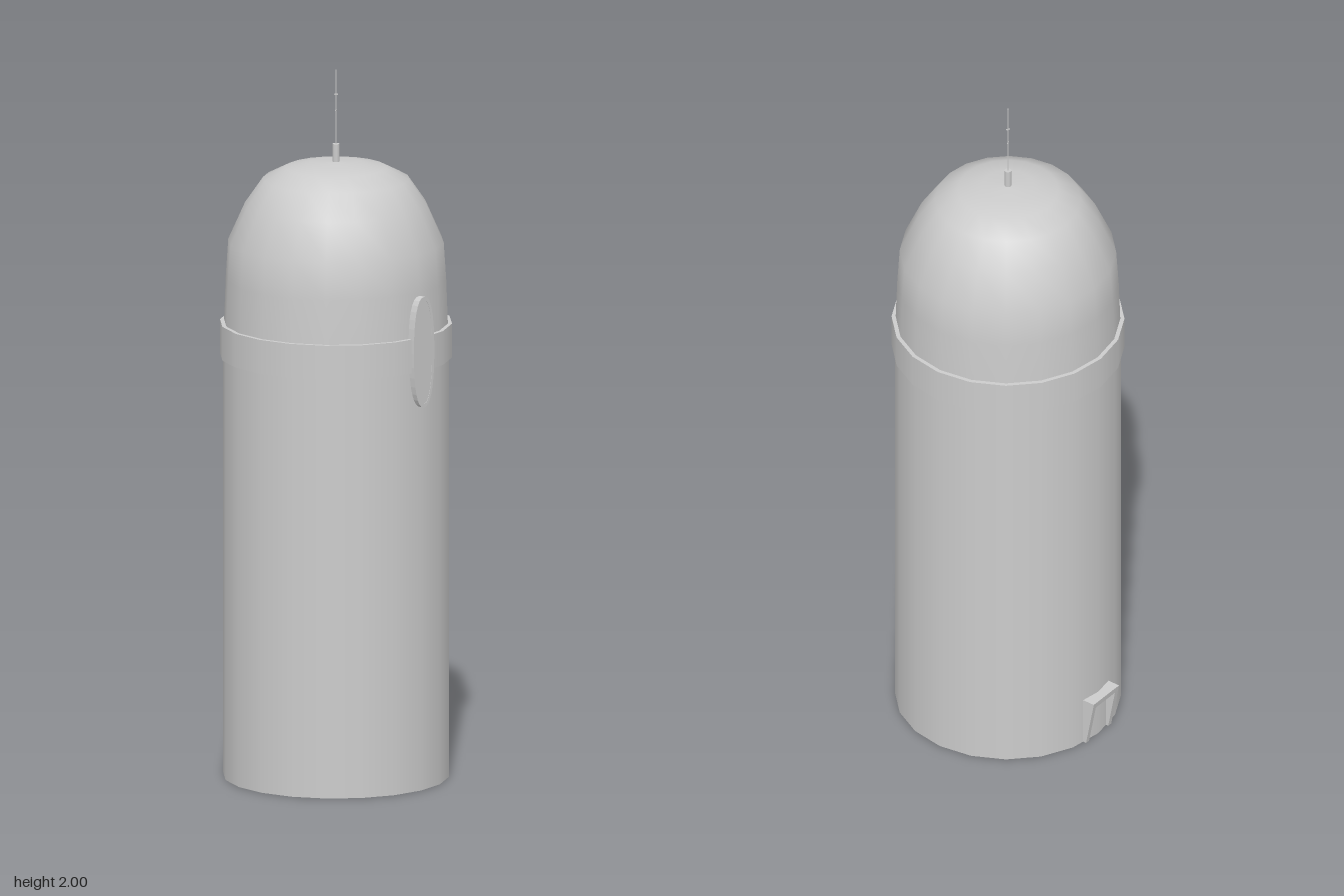
import * as THREE from 'three';

const SIDES = 20;
const AXIS_Z = 0.007;
const material = new THREE.MeshStandardMaterial({ color: 0xcccccc });

function add(parent, name, geometry, x = 0, y = 0, z = 0) {
  const mesh = new THREE.Mesh(geometry, material);
  mesh.name = name;
  mesh.position.set(x, y, z);
  parent.add(mesh);
  return mesh;
}

// Cylinder standing between two heights
function drum(parent, name, radius, y0, y1, sides = SIDES) {
  return add(parent, name, new THREE.CylinderGeometry(radius, radius, y1 - y0, sides), 0, (y0 + y1) / 2, 0);
}

// Tall rounded outline, slightly fuller than an ellipse
function ovalPoints(rx, ry, n = 32) {
  const bulge = (v) => Math.sign(v) * Math.pow(Math.abs(v), 0.85);
  return Array.from({ length: n }, (_, i) => {
    const a = (i / n) * Math.PI * 2;
    return new THREE.Vector2(rx * bulge(Math.cos(a)), ry * bulge(Math.sin(a)));
  });
}

export function createModel() {
  const model = new THREE.Group();
  model.name = 'domedCanister';
  const tower = new THREE.Group();
  tower.name = 'tower';
  tower.position.z = AXIS_Z;
  model.add(tower);

  // Body and collar
  drum(tower, 'body', 0.314, 0, 1.24);
  drum(tower, 'collar', 0.323, 1.19, 1.286);

  // Dome
  const profile = [
    [0.313, 1.24], [0.311, 1.3], [0.307, 1.41], [0.3, 1.515], [0.253, 1.62],
    [0.203, 1.692], [0.14, 1.724], [0.075, 1.736], [0, 1.74],
  ].map(([r, y]) => new THREE.Vector2(r, y));
  add(tower, 'dome', new THREE.LatheGeometry(profile, SIDES));

  // Antenna: socket, thin rod and two tiny barbs
  drum(tower, 'antennaSocket', 0.01, 1.73, 1.79, 10);
  drum(tower, 'antennaRod', 0.002, 1.79, 2, 6);
  for (const [y, turn] of [[1.885, 0.5], [1.93, -0.5]]) {
    const barb = add(tower, 'antennaBarb', new THREE.BoxGeometry(0.01, 0.003, 0.003), 0, y, 0);
    barb.rotation.y = turn;
  }

  // Front badge: raised rim around a slightly sunken plate
  const badge = new THREE.Group();
  badge.name = 'frontBadge';
  badge.position.set(0, 1.245, 0.29);
  model.add(badge);
  const rim = new THREE.Shape(ovalPoints(0.043, 0.157));
  rim.holes.push(new THREE.Path(ovalPoints(0.034, 0.147).reverse()));
  add(badge, 'badgeRim', new THREE.ExtrudeGeometry(rim, { depth: 0.042, bevelEnabled: false }));
  const plate = new THREE.Shape(ovalPoints(0.035, 0.148));
  add(badge, 'badgePlate', new THREE.ExtrudeGeometry(plate, { depth: 0.041, bevelEnabled: false }));

  // Rear hood: two tapered cheeks under a sloping lid, open in the middle
  const hood = new THREE.Group();
  hood.name = 'rearHood';
  model.add(hood);
  const wedge = (points, width, x, name) => {
    const shape = new THREE.Shape(points.map(([z, y]) => new THREE.Vector2(-z, y)));
    const geometry = new THREE.ExtrudeGeometry(shape, { depth: width, bevelEnabled: false });
    geometry.translate(0, 0, -width / 2);
    geometry.rotateY(Math.PI / 2);
    add(hood, name, geometry, x, 0, 0);
  };
  const cheek = [[-0.28, 0], [-0.308, 0], [-0.335, 0.142], [-0.28, 0.142]];
  for (const side of [-1, 1]) wedge(cheek, 0.014, side * 0.051, 'hoodCheek');
  wedge([[-0.28, 0.124], [-0.332, 0.124], [-0.335, 0.142], [-0.28, 0.142]], 0.09, 0, 'hoodLid');

  return model;
}
